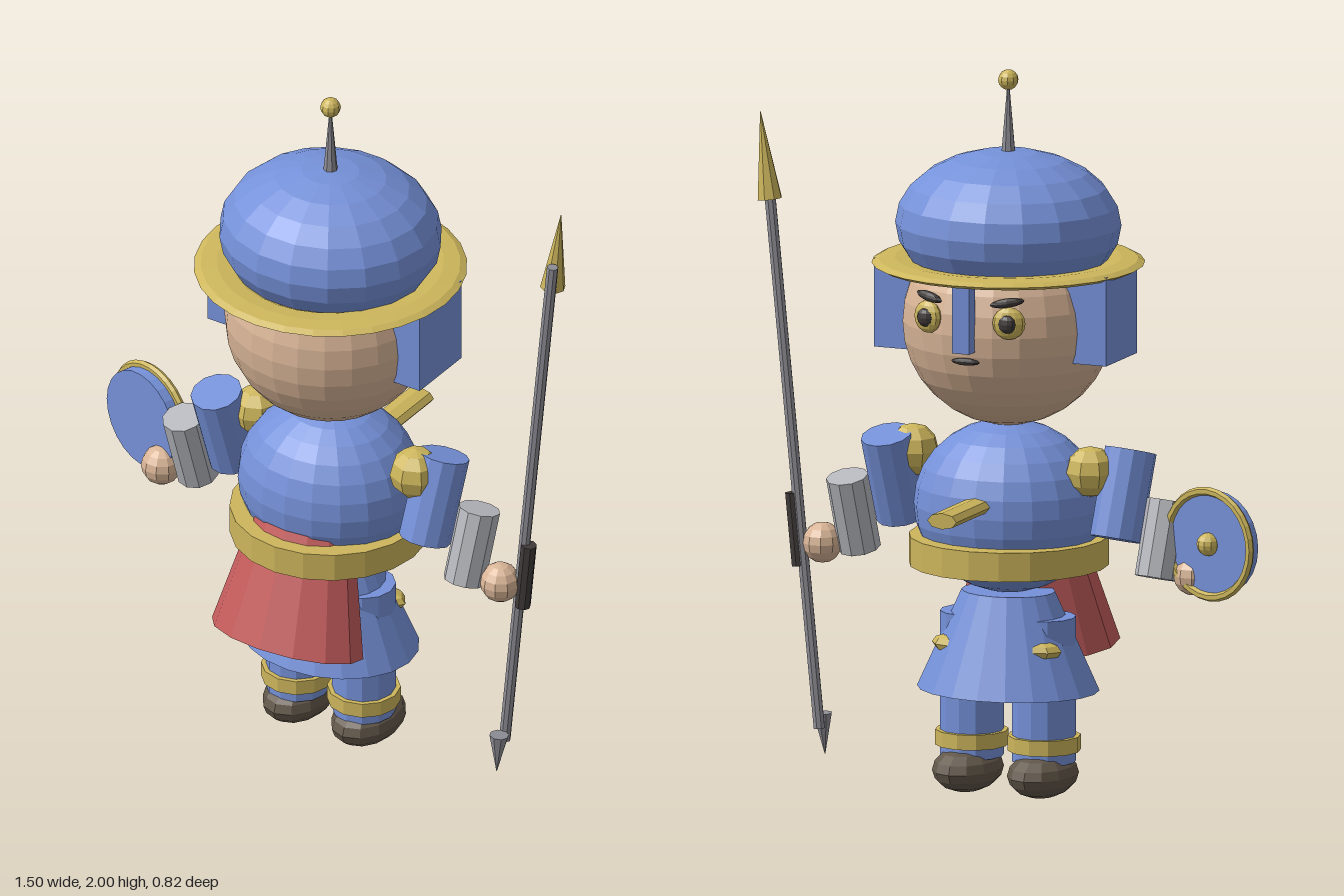
import * as THREE from 'three';

const mat = (name, color) => {
  const m = new THREE.MeshStandardMaterial({ color, flatShading: true });
  m.name = name;
  return m;
};

export function createModel() {
  const blue = mat('blue cloth', 0x7591d9);
  const gold = mat('gold', 0xcdb65c);
  const skin = mat('skin', 0xd9b597);
  const red = mat('red cloth', 0xc45c5c);
  const silver = mat('light steel', 0xb6b8be);
  const steel = mat('dark steel', 0x8e8e96);
  const leather = mat('boot leather', 0x62574a);
  const dark = mat('dark grip', 0x403a3a);

  const root = new THREE.Group();
  root.name = 'guard';
  const CX = 0.025, CZ = 0.032; // body axis

  const add = (name, geo, material, pos, rot = [0, 0, 0], scale = [1, 1, 1], parent = root) => {
    const m = new THREE.Mesh(geo, material);
    m.name = name;
    m.position.set(...pos);
    m.rotation.set(...rot);
    m.scale.set(...scale);
    parent.add(m);
    return m;
  };
  const ball = (name, material, pos, r, w = 12, h = 8, rot) =>
    add(name, new THREE.SphereGeometry(1, w, h), material, pos, rot, Array.isArray(r) ? r : [r, r, r]);
  const cyl = (rt, rb, h, n = 12) => new THREE.CylinderGeometry(rt, rb, h, n);

  // Rod between two points
  const rod = (name, material, a, b, ra, rb, n = 8) => {
    const p = new THREE.Vector3(...a), q = new THREE.Vector3(...b);
    const d = q.clone().sub(p);
    const m = add(name, cyl(rb, ra, d.length(), n), material, p.clone().add(q).multiplyScalar(0.5).toArray());
    m.quaternion.setFromUnitVectors(new THREE.Vector3(0, 1, 0), d.normalize());
    return m;
  };

  // Legs, boots and ear guards, mirrored about the body axis
  for (const s of [-1, 1]) {
    const x = CX + s * 0.107;
    ball('boot', leather, [CX + s * 0.111, 0.067, 0.013], [0.09, 0.064, 0.13], 12, 8);
    add('leg', cyl(0.087, 0.087, 0.4), blue, [x, 0.3, 0.03]);
    add('ankleRing', cyl(0.1, 0.1, 0.042), gold, [x, 0.151, 0.03]);
    ball('kneeGuard', gold, [x, 0.42, -0.045], [0.085, 0.03, 0.05], 8, 6);
    add('earGuard', new THREE.BoxGeometry(0.12, 0.245, 0.206), blue, [CX + s * 0.284, 1.352, 0.013]);
  }

  // Skirt, belt and torso
  add('skirt', cyl(0.13, 0.254, 0.27, 20), blue, [CX, 0.428, CZ], undefined, [1, 1, 0.83]);
  ball('torso', blue, [CX, 0.798, CZ], [0.262, 0.237, 0.23], 20, 14);
  add('belt', cyl(0.272, 0.272, 0.08, 20), gold, [CX, 0.677, 0.036]);
  add('apron', cyl(0.148, 0.23, 0.35, 14), red, [CX, 0.565, 0.2], [-0.25, 0, 0], [1, 1, 0.64]);
  add('chestBar', cyl(0.043, 0.043, 0.28, 8), gold, [CX, 0.833, -0.273], [Math.PI / 2, 0, 0], [1, 1, 0.52]);

  // Head and face
  ball('head', skin, [CX, 1.312, CZ], 0.288, 24, 16);
  for (const s of [-1, 1]) {
    ball('eye', gold, [CX + s * 0.12, 1.357, -0.235], [0.045, 0.045, 0.022], 12, 8, [0, s * -0.3, 0]);
    ball('pupil', dark, [CX + s * 0.12, 1.357, -0.25], [0.026, 0.026, 0.016], 10, 6);
    ball('brow', dark, [CX + s * 0.115, 1.413, -0.236], [0.048, 0.013, 0.015], 8, 6, [0, s * -0.35, s * 0.15]);
  }
  ball('mouth', dark, [CX, 1.245, -0.255], [0.042, 0.01, 0.012], 8, 6);
  add('noseGuard', new THREE.BoxGeometry(0.05, 0.19, 0.04), blue, [CX, 1.367, -0.267]);

  // Helmet
  ball('helmetDome', blue, [CX, 1.575, CZ], [0.31, 0.204, 0.29], 18, 12);
  add('helmetBrim', new THREE.TorusGeometry(0.308, 0.063, 8, 28), gold, [CX, 1.47, CZ],
    [Math.PI / 2, 0, 0], [1, 1, 0.22]);
  add('helmetSpike', cyl(0.003, 0.021, 0.2, 8), steel, [CX, 1.86, CZ]);
  ball('spikeBall', gold, [CX, 1.972, CZ], 0.028, 10, 8);

  // Spear arm (+x) and shield arm (-x)
  ball('shoulder', gold, [0.317, 0.923, 0.055], 0.073, 8, 6);
  ball('shoulder', gold, [-0.23, 0.915, 0.005], 0.07, 8, 6);
  rod('upperArm', blue, [0.357, 0.735, 0.073], [0.372, 0.97, 0.001], 0.071, 0.071, 12);
  rod('upperArm', blue, [-0.307, 0.735, 0.0], [-0.322, 0.97, 0.068], 0.071, 0.071, 12);
  rod('forearm', silver, [0.478, 0.638, 0.062], [0.492, 0.843, 0.008], 0.058, 0.058, 10);
  rod('forearm', silver, [-0.428, 0.638, -0.005], [-0.44, 0.843, 0.052], 0.058, 0.058, 10);
  ball('hand', skin, [0.575, 0.65, 0.032], 0.056, 10, 8);
  ball('hand', skin, [-0.527, 0.65, 0.025], 0.056, 10, 8);

  // Spear
  rod('spearShaft', steel, [0.575, 0.14, 0.01], [0.73, 1.69, 0.01], 0.016, 0.016, 8);
  rod('spearGrip', dark, [0.635, 0.585, 0.013], [0.655, 0.785, 0.013], 0.022, 0.022, 8);
  rod('spearHead', gold, [0.704, 1.6, -0.03], [0.733, 1.837, -0.027], 0.035, 0.001, 8);
  rod('spearButt', steel, [0.582, 0.175, 0.048], [0.577, 0.062, 0.053], 0.027, 0.001, 8);

  // Round shield, its outer face towards -z
  const shield = new THREE.Group();
  shield.name = 'shield';
  shield.position.set(-0.605, 0.752, -0.018);
  shield.rotation.y = -0.29;
  root.add(shield);
  add('shieldDisc', cyl(0.142, 0.142, 0.04, 24), blue, [0, 0, 0], [Math.PI / 2, 0, 0], undefined, shield);
  add('shieldRim', new THREE.TorusGeometry(0.146, 0.012, 6, 28), gold, [0, 0, -0.02], undefined, undefined, shield);
  add('shieldBoss', new THREE.SphereGeometry(0.032, 10, 8), gold, [0, 0, -0.022], undefined, undefined, shield);

  return root;
}
